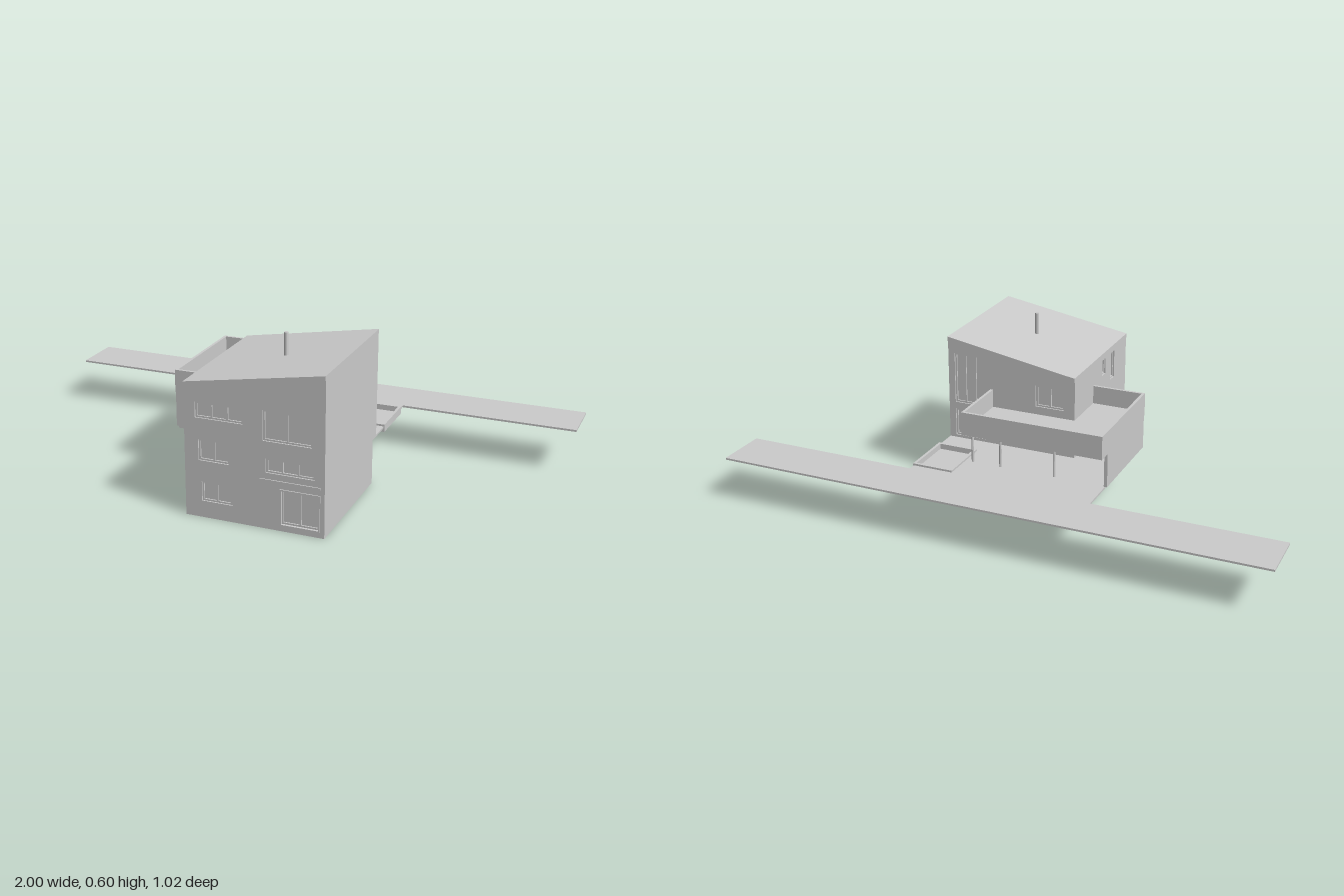
import * as THREE from 'three';

const grey = new THREE.MeshStandardMaterial({ color: 0xcccccc, flatShading: true });

// House extents
const X0 = -0.14, X1 = 0.355, ZB = -0.008, ZF = 0.504, ZL = 0.028, Y1 = 0.163, T = 0.01;
const roofY = x => 0.475 + (x - X0) * 0.085 / (X1 - X0);
const ROOF = 0.016;

export function createModel() {
  const model = new THREE.Group();
  model.name = 'hillsideHouse';

  const add = (name, geometry, parent = model) => {
    const m = new THREE.Mesh(geometry, grey);
    m.name = name;
    parent.add(m);
    return m;
  };
  // Box given by its minimum and maximum corners
  const box = (name, a, b, parent) => {
    const m = add(name, new THREE.BoxGeometry(b[0] - a[0], b[1] - a[1], b[2] - a[2]), parent);
    m.position.set((a[0] + b[0]) / 2, (a[1] + b[1]) / 2, (a[2] + b[2]) / 2);
    return m;
  };
  const rect = ([u0, v0, u1, v1]) => [[u0, v0], [u1, v0], [u1, v1], [u0, v1]];
  const vectors = pts => pts.map(p => new THREE.Vector2(...p));
  const extrude = (pts, depth, holes = []) => {
    const shape = new THREE.Shape(vectors(pts));
    holes.forEach(h => shape.holes.push(new THREE.Path(vectors(rect(h)))));
    return new THREE.ExtrudeGeometry(shape, { depth, bevelEnabled: false });
  };

  // Wall panel with recessed, framed windows; the outside is local +z
  const wall = (name, outline, windows) => {
    const g = new THREE.Group();
    g.name = name;
    model.add(g);
    add(name + 'Panel', extrude(outline, T, windows.map(w => w.slice(0, 4))), g);
    windows.forEach(([u0, v0, u1, v1, bars = 0]) => {
      const f = 0.006;
      add('windowFrame', extrude(rect([u0, v0, u1, v1]), T * 0.5,
        [[u0 + f, v0 + f, u1 - f, v1 - f]]), g);
      for (let i = 1; i <= bars; i++) {
        const u = u0 + (u1 - u0) * i / (bars + 1);
        box('windowMullion', [u - f / 2, v0 + f, 0], [u + f / 2, v1 - f, T * 0.5], g);
      }
    });
    return g;
  };
  const gable = (x0, x1, y0) => [[x0, y0], [x1, y0], [x1, roofY(x1) - ROOF], [x0, roofY(x0) - ROOF]];

  // Solid core behind the wall panels
  add('upperFloors', extrude(gable(X0 + T, X1, Y1), ZF - ZB - 2 * T)).position.z = ZB + T;
  box('groundFloor', [X0 + T, 0, ZL], [X1, Y1, ZF - T]);

  wall('frontWall', gable(X0, X1, 0), [
    [-0.10, 0.355, 0.07, 0.41, 2], [0.14, 0.31, 0.31, 0.415, 1],
    [-0.09, 0.205, 0.02, 0.28, 1], [0.15, 0.2, 0.32, 0.25, 2],
    [-0.08, 0.06, 0.03, 0.13, 1], [0.205, 0.025, 0.335, 0.145, 1],
  ]).position.z = ZF - T;

  // Back wall faces -z, so it is turned round and its x is mirrored
  const back = wall('backWall',
    [[-X1, Y1], [-X0, Y1], [-X0, roofY(X0) - ROOF], [-X1, roofY(X1) - ROOF]], [
      [-0.33, 0.31, -0.21, 0.5, 2], [-0.01, 0.345, 0.1, 0.425, 1],
      [-0.33, 0.18, -0.21, 0.285, 1],
    ]);
  back.rotation.y = Math.PI;
  back.position.z = ZB + T;

  const ySide = roofY(X0) - ROOF;
  const side = wall('rightSideWall',
    [[ZL, 0], [ZF - T, 0], [ZF - T, ySide], [ZB + T, ySide], [ZB + T, Y1], [ZL, Y1]],
    [[0.255, 0.39, 0.29, 0.45], [0.34, 0.345, 0.38, 0.45]]);
  side.rotation.y = -Math.PI / 2;
  side.position.x = X0 + T;

  // Sloping roof and chimney pipe
  const r = ROOF;
  add('roof', extrude([[X0, roofY(X0) - r], [X1, roofY(X1) - r], [X1, roofY(X1)], [X0, roofY(X0)]],
    ZF - ZB + 0.008)).position.z = ZB - 0.004;
  add('chimney', new THREE.CylinderGeometry(0.008, 0.008, 0.1, 8)).position.set(0.12, 0.55, 0.255);

  // Front door surround with its thin canopy
  add('doorSurround', extrude(rect([0.2, 0.02, 0.34, 0.15]), 0.004, [[0.205, 0.025, 0.335, 0.145]]))
    .position.z = ZF;
  box('doorCanopy', [0.13, 0.17, ZF], [0.34, 0.178, ZF + 0.004]);

  // T-shaped road and yard slab, with an opening for the sunken frame
  const slab = add('roadSlab', extrude([
    [-1, 0.508], [-1, 0.32], [-0.325, 0.32], [-0.325, -0.18], [X0, -0.18], [X0, -ZL],
    [X1, -ZL], [X1, 0.32], [1, 0.32], [1, 0.508],
  ], 0.007, [[0.212, 0.1, 0.348, 0.285]]));
  slab.rotation.x = -Math.PI / 2;
  slab.position.y = 0.163;

  // Sunken rectangular frame in the yard
  const bed = add('yardFrame', extrude(rect([0.205, 0.093, X1 + 0.003, 0.292]), 0.028,
    [[0.215, 0.103, X1 - 0.007, 0.282]]));
  bed.rotation.x = -Math.PI / 2;
  bed.position.y = 0.149;
  box('yardFrameFloor', [0.213, 0.15, -0.284], [0.35, 0.157, -0.101]);

  // Roof terrace wrapping the corner of the house
  const AX = -0.335, BX = 0.188, AZ = -0.243, BZ = 0.18, W = 0.01, P0 = 0.297, P1 = 0.382;
  const terrace = add('terraceFloor', extrude([
    [AX + W, -BZ + W], [X0, -BZ + W], [X0, -ZB], [BX - W, -ZB], [BX - W, -AZ - W], [AX + W, -AZ - W],
  ], 0.018));
  terrace.rotation.x = -Math.PI / 2;
  terrace.position.y = P0;
  box('terraceParapetBack', [AX, P0, AZ], [BX, P1, AZ + W]);
  box('terraceParapetLeft', [BX - W, P0, AZ + W], [BX, P1, ZB]);
  box('terraceParapetRight', [AX, P0, AZ + W], [AX + W, P1, BZ]);
  box('terraceParapetFront', [AX + W, P0, BZ - W], [X0, P1, BZ]);

  // Carport walls and posts under the terrace
  box('carportSideWall', [AX + 0.002, 0.17, -0.183], [AX + 0.014, P0, BZ]);
  box('carportFrontWall', [AX + 0.014, 0.17, BZ - W], [X0, P0, BZ]);
  for (const x of [-0.135, 0.07, 0.178]) {
    const post = add('carportPost', new THREE.CylinderGeometry(0.005, 0.005, P0 - 0.17, 8));
    post.position.set(x, (P0 + 0.17) / 2, -0.178);
  }
  return model;
}
